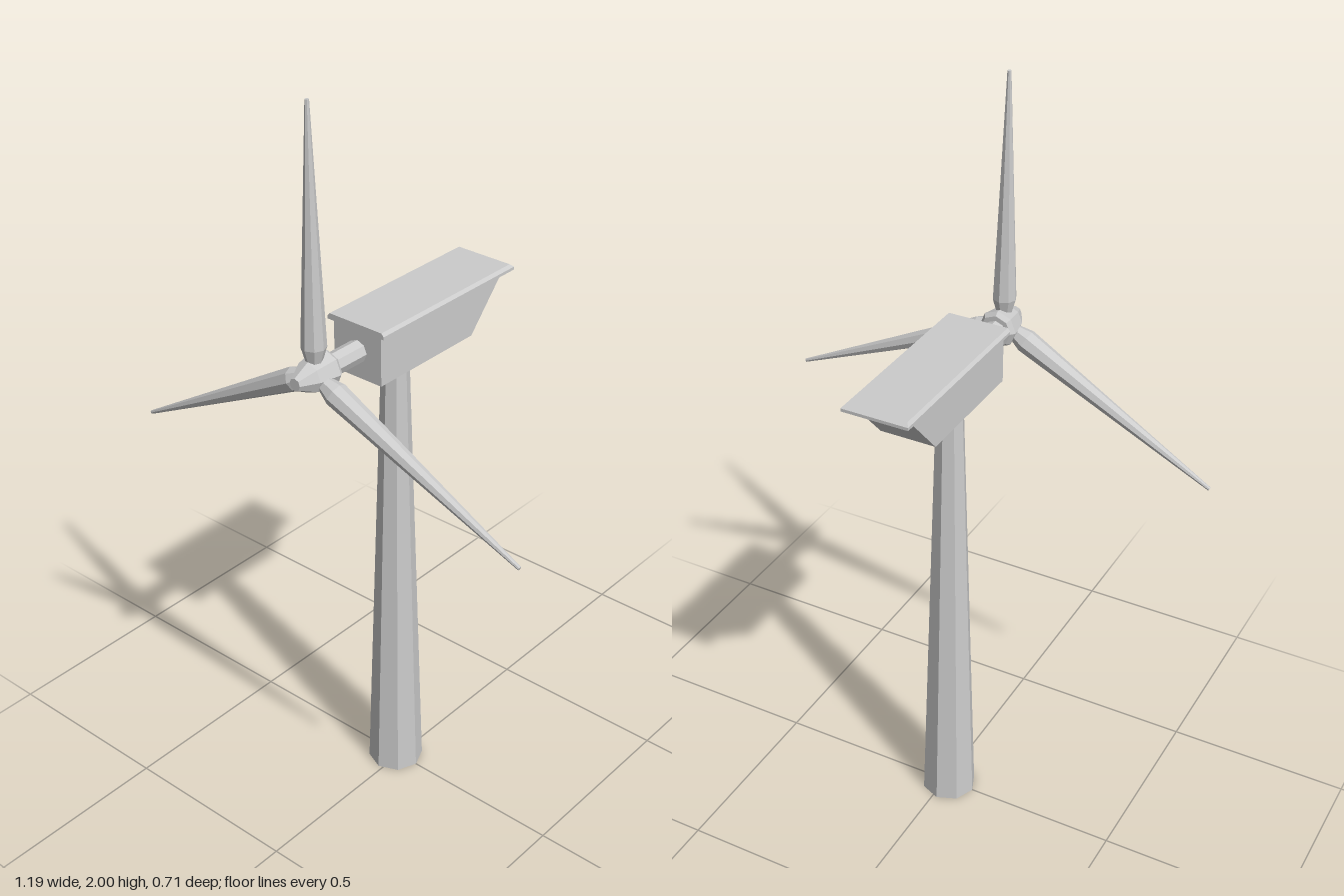
import * as THREE from 'three';

const AXIS_X = -0.013, HUB_Y = 1.336, HUB_Z = 0.288;

export function createModel() {
  const model = new THREE.Group();
  model.name = 'windTurbine';
  const mat = new THREE.MeshStandardMaterial({ color: 0xcccccc, flatShading: true });
  const add = (name, geometry, parent, x = 0, y = 0, z = 0) => {
    const mesh = new THREE.Mesh(geometry, mat);
    mesh.name = name;
    mesh.position.set(x, y, z);
    parent.add(mesh);
    return mesh;
  };
  // Closed lathe from [radius, height] pairs
  const lathe = (profile, sides) =>
    new THREE.LatheGeometry(profile.map(([r, h]) => new THREE.Vector2(r, h)), sides);

  const turbine = new THREE.Group();
  turbine.name = 'turbine';
  turbine.position.x = AXIS_X;
  model.add(turbine);

  // Tapered octagonal tower
  add('tower', new THREE.CylinderGeometry(0.035, 0.074, 1.27, 8), turbine, 0, 0.635, 0);

  // Nacelle housing: side profile (z, y) extruded across the width
  const side = new THREE.Shape([
    [0.138, 1.265], [0.138, 1.4], [-0.328, 1.4], [-0.206, 1.265],
  ].map(([z, y]) => new THREE.Vector2(-z, y)));
  const housing = new THREE.ExtrudeGeometry(side, { depth: 0.148, bevelEnabled: false });
  housing.translate(0, 0, -0.074).rotateY(Math.PI / 2);
  add('nacelleHousing', housing, turbine);

  // Overhanging roof, its top edge chamfered at the sides and rear
  const roof = new THREE.BoxGeometry(0.176, 0.016, 0.502, 1, 2, 1);
  const p = roof.attributes.position;
  for (let i = 0; i < p.count; i++) {
    if (p.getY(i) < 0.004) continue;
    p.setX(i, p.getX(i) * 0.92);
    if (p.getZ(i) < 0) p.setZ(i, p.getZ(i) + 0.01);
  }
  add('nacelleRoof', roof, turbine, 0, 1.404, -0.106);

  // Drive shaft
  const shaft = new THREE.CylinderGeometry(0.029, 0.029, 0.13, 8).rotateX(Math.PI / 2);
  add('driveShaft', shaft, turbine, 0, HUB_Y, 0.19);

  // Rotor: hub with pointed nose and three blades
  const rotor = new THREE.Group();
  rotor.name = 'rotor';
  rotor.position.set(0, HUB_Y, HUB_Z);
  turbine.add(rotor);

  const hub = lathe([[0, -0.048], [0.042, -0.048], [0.051, -0.036],
    [0.04, 0.022], [0.016, 0.067], [0, 0.067]], 8).rotateX(Math.PI / 2);
  add('hub', hub, rotor);

  const bladeGeometry = lathe([[0, 0], [0.014, 0.012], [0.031, 0.072],
    [0.005, 0.664], [0, 0.664]], 8);
  for (const [name, degrees] of [['topBlade', 0], ['rightBlade', 118.7], ['leftBlade', -114.4]]) {
    add(name, bladeGeometry, rotor).rotation.z = THREE.MathUtils.degToRad(degrees);
  }
  return model;
}
